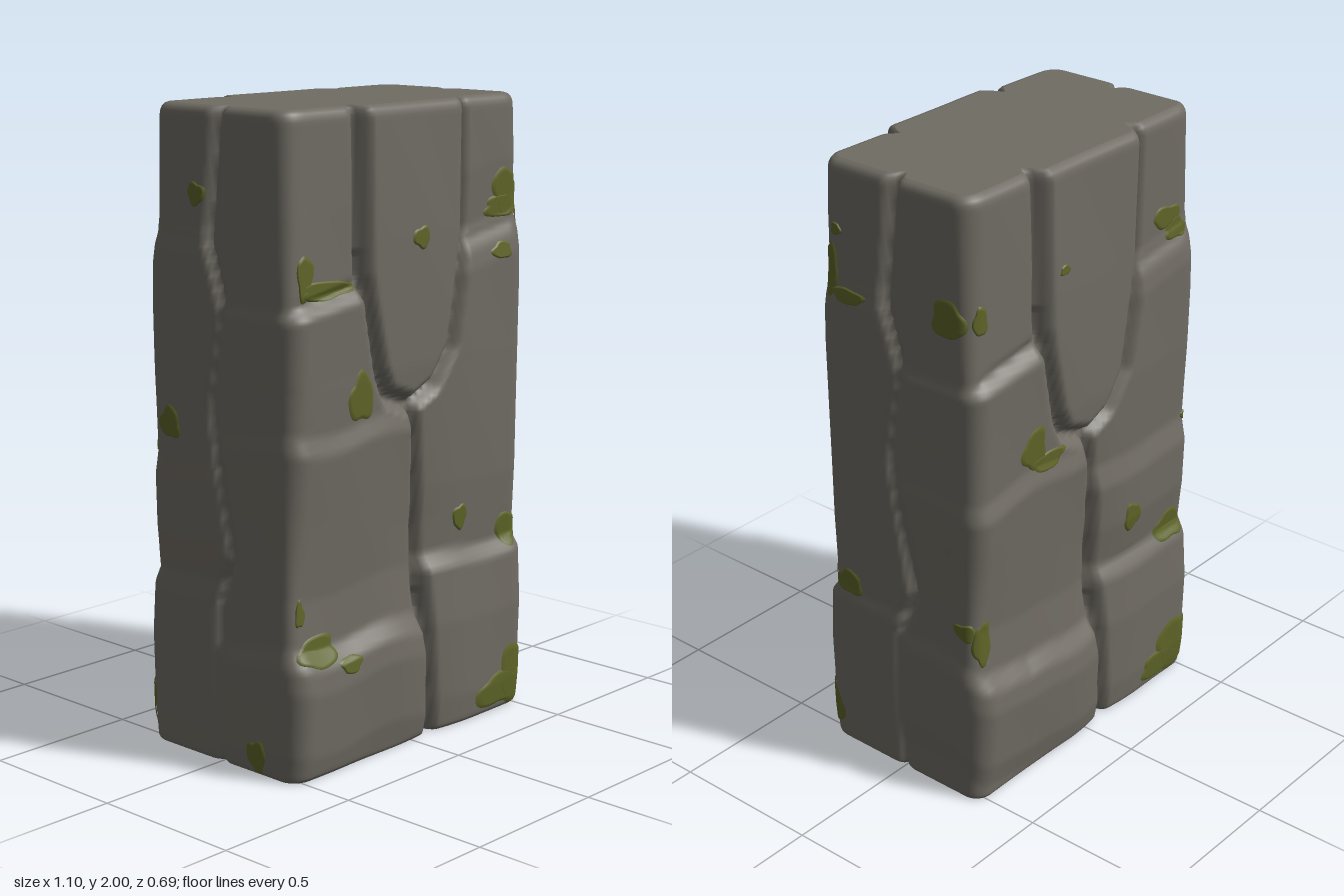
import * as THREE from 'three';

const X = 0.54, Z = 0.32, HALF = X + Z, H = 2;
const clamp = THREE.MathUtils.clamp;

// Piecewise-linear lookup through [key, value] pairs with rising keys
function lookup(points, k) {
  if (k <= points[0][0]) return points[0][1];
  for (let i = 1; i < points.length; i++) {
    const [k0, v0] = points[i - 1], [k1, v1] = points[i];
    if (k <= k1) return v0 + (v1 - v0) * (k - k0) / (k1 - k0);
  }
  return points[points.length - 1][1];
}

// Seams as [y, s]: s runs around the half perimeter, equal to x on the broad face
const plateLeft = [[1.08, 0], [1.12, -0.11], [1.2, -0.15], [1.4, -0.2], [1.5, -0.22], [1.7, -0.225], [2, -0.23]];
const plateRight = [[1.08, 0], [1.13, 0.1], [1.24, 0.175], [1.4, 0.205], [1.6, 0.235], [2, 0.24]];
const centreSeam = [[0, 0.09], [0.5, 0.05], [0.8, 0.03], [1.08, 0]];
const sideSeam = [[0, 0.86], [0.5, 0.85], [0.65, 0.91], [1.1, 0.83], [1.4, 0.88], [1.6, 0.82], [1.8, 0.84], [2, 0.86]];
const ledgeSeam = [[1.42, -0.8], [1.425, -0.54], [1.475, -0.25]];
const lowSeam = [[0.555, 0.07], [0.56, 0.54], [0.57, 0.82]];
const highSeam = [[1.56, 0.25], [1.61, 0.54], [1.6, 0.8]];
// [seam, depth, half width]
const seams = [[plateLeft, 0.06, 0.035], [plateRight, 0.05, 0.035], [centreSeam, 0.055, 0.032],
  [sideSeam, 0.05, 0.035], [ledgeSeam, 0.012, 0.025], [lowSeam, 0.004, 0.02], [highSeam, 0.006, 0.025]];

// How far each corner column of stones stands out, as [y, offset]
const leftColumn = [[0, -0.004], [0.08, 0.012], [0.28, 0.026], [0.35, 0.018], [0.41, -0.022], [0.56, -0.03],
  [0.8, -0.012], [1, 0.004], [1.06, -0.014], [1.25, -0.005], [1.41, 0.003], [1.46, -0.032], [1.7, -0.032], [2, -0.036]];
const rightColumn = [[0, -0.002], [0.1, 0.008], [0.35, 0.014], [0.53, 0.003], [0.58, -0.036], [0.8, -0.02],
  [1.2, -0.01], [1.5, -0.006], [1.55, -0.014], [1.63, -0.042], [1.8, -0.036], [2, -0.042]];
const rightColumnBack = [[0, -0.002], [0.1, 0.008], [0.35, 0.014], [0.51, 0.003], [0.57, -0.028], [0.7, -0.01],
  [0.86, -0.004], [0.94, -0.024], [1.2, -0.01], [1.5, -0.006], [1.55, -0.014], [1.63, -0.042], [2, -0.042]];

// Corner radius, softer towards the top
const cornerRadius = [[0, 0.065], [1.4, 0.07], [1.6, 0.085], [2, 0.1]];

function distance(seam, s, y) {
  let best = 9;
  for (let i = 1; i < seam.length; i++) {
    const [y0, s0] = seam[i - 1], [y1, s1] = seam[i];
    const dy = y1 - y0, ds = s1 - s0;
    const t = clamp(((y - y0) * dy + (s - s0) * ds) / (dy * dy + ds * ds), 0, 1);
    best = Math.min(best, Math.hypot(y - y0 - t * dy, s - s0 - t * ds));
  }
  return best;
}

function offset(s, y, back) {
  // A side seam wanders past the half perimeter, so wrap into the next half
  const side = lookup(sideSeam, y);
  if (s > side) { s -= 2 * HALF; back = !back; }
  if (s < side - 2 * HALF) { s += 2 * HALF; back = !back; }
  let out;
  if (y > 1.08 && s > lookup(plateLeft, y) && s < lookup(plateRight, y)) {
    out = lookup([[1.08, -0.018], [1.2, -0.01], [1.6, -0.006], [2, -0.008]], y);
  } else {
    const wobble = 0.012 * Math.sin(s * 13 + (back ? 2 : 0));
    const centre = lookup(centreSeam, y);
    if (s < centre) {
      // The back foot stone rises towards its corner
      const rise = back ? 0.3 * clamp(-s - 0.3, 0, 0.35) * clamp((0.9 - y) / 0.2, 0, 1) : 0;
      const slope = 0.12 * clamp(s + 0.4, -0.15, 0.15) * (y > 1.2 ? 1 : 0.3);
      out = lookup(leftColumn, y - slope - rise + wobble * (y < 1.2));
    } else {
      out = lookup(back ? rightColumnBack : rightColumn, y - (y > 1.2 ? 0.18 * clamp(s - 0.45, -0.2, 0.1) : 0.5 * wobble));
    }
    // Stones round off towards the centre seam
    const near = clamp(1 - Math.abs(s - centre) / 0.2, 0, 1);
    out -= 0.02 * near * near * clamp((1.1 - y) / 0.4, 0, 1);
  }
  // Gentle chipped unevenness
  out += 0.002 * Math.sin(9 * s + 5 * y + (back ? 1.5 : 0));
  // V-shaped seams
  let cut = 0;
  for (const [seam, depth, width] of seams) {
    const d = Math.min(distance(seam, s, y), distance(seam, s + 2 * HALF, y));
    if (d < width) cut = Math.max(cut, depth * Math.pow(1 - d / width, 1.3));
  }
  return out - cut;
}

// Point on the pillar wall, raised by lift
function wallPoint(s, y, back, lift = 0) {
  const r = lookup(cornerRadius, y);
  const px = clamp(s, -X, X), pz = Z - Math.max(0, Math.abs(s) - X);
  const ix = clamp(px, r - X, X - r), iz = Math.min(pz, Z - r);
  const length = Math.hypot(px - ix, pz - iz);
  const nx = (px - ix) / length, nz = (pz - iz) / length;
  const edge = Math.max(0, y - (H - 0.035)) / 0.035, foot = Math.max(0, 0.015 - y) / 0.015;
  const inset = 0.028 * (1 - Math.sqrt(Math.max(0, 1 - edge * edge))) + 0.008 * foot * foot;
  const raw = offset(s, y, back);
  // Ledges are shallower on the narrow sides, seams are not
  const shallow = raw > -0.045 ? raw * (1 - 0.7 * nx * nx) : raw + 0.0315 * nx * nx;
  const out = r + shallow - inset + lift;
  const sign = back ? -1 : 1;
  return [sign * (ix + nx * out), y, sign * (iz + nz * out)];
}

function makeGeometry(positions, index) {
  const geometry = new THREE.BufferGeometry();
  geometry.setAttribute('position', new THREE.Float32BufferAttribute(positions, 3));
  geometry.setIndex(index);
  geometry.computeVertexNormals();
  return geometry;
}

// Closed wall of stones, one ring of points per height
function wallRings(columns, heights) {
  return heights.map((y) => Array.from({ length: columns }, (_, i) => {
    const s = -HALF + (i % (columns / 2)) / (columns / 2) * 2 * HALF;
    return wallPoint(s, y, i >= columns / 2);
  }));
}

function wallGeometry(rings) {
  const n = rings[0].length, index = [];
  for (let j = 0; j < rings.length - 1; j++) {
    for (let i = 0; i < n; i++) {
      const k = (i + 1) % n, a = j * n + i, b = j * n + k;
      index.push(a, b, b + n, a, b + n, a + n);
    }
  }
  return makeGeometry(rings.flat(2), index);
}

// Flat end face closing a ring
function capGeometry(ring, up) {
  const n = ring.length, index = [];
  for (let i = 0; i < n; i++) {
    const k = (i + 1) % n;
    index.push(n, up ? i : k, up ? k : i);
  }
  return makeGeometry([...ring.flat(), 0, ring[0][1], 0], index);
}

// Thin irregular patch lying on the wall
function mossGeometry(s, y, rx, ry, back, seed) {
  const rounds = 9, spokes = 30, positions = [], index = [];
  for (let j = 0; j <= rounds; j++) {
    for (let i = 0; i < spokes; i++) {
      const a = i / spokes * Math.PI * 2;
      const r = j / rounds * (1 + 0.12 * Math.sin(3 * a + seed * 1.7) + 0.06 * Math.sin(5 * a + seed * 2.9));
      const py = clamp(y + Math.sin(a) * ry * r, 0.004, H - 0.01);
      positions.push(...wallPoint(clamp(s + Math.cos(a) * rx * r, -HALF, HALF), py, back, j === rounds ? 0.001 : 0.005));
      if (j < rounds) {
        const k = (i + 1) % spokes, p = j * spokes + i, q = j * spokes + k;
        index.push(p, p + spokes, q + spokes, p, q + spokes, q);
      }
    }
  }
  return makeGeometry(positions, index);
}

// Moss patches as [s, y, half width, half height]
const frontMoss = [[-0.465, 1.52, 0.042, 0.07], [-0.37, 1.475, 0.12, 0.028], [-0.24, 1.14, 0.055, 0.075],
  [0.02, 1.595, 0.038, 0.034], [0.465, 1.7, 0.075, 0.075], [0.46, 1.65, 0.11, 0.036], [0.41, 1.515, 0.047, 0.028],
  [0.24, 0.68, 0.032, 0.042], [0.49, 0.6, 0.075, 0.052], [-0.5, 0.52, 0.032, 0.042], [-0.43, 0.395, 0.085, 0.048],
  [-0.31, 0.335, 0.045, 0.028], [0.5, 0.11, 0.1, 0.1], [0.42, 0.07, 0.13, 0.055], [0.6, 1.66, 0.045, 0.08],
  [0.68, 1.59, 0.065, 0.024], [0.64, 1.79, 0.02, 0.02], [0.64, 0.6, 0.055, 0.042], [-0.7, 0.06, 0.04, 0.05]];
const backMoss = [[-0.65, 1.625, 0.065, 0.06], [-0.5, 1.625, 0.05, 0.045], [-0.6, 0.605, 0.045, 0.03],
  [0.4, 1.67, 0.07, 0.035], [0.45, 1.62, 0.06, 0.035], [-0.265, 1.14, 0.055, 0.07], [-0.2, 1.08, 0.08, 0.03],
  [0.225, 0.7, 0.04, 0.05], [0.44, 0.575, 0.08, 0.05], [-0.51, 0.56, 0.06, 0.075], [0.46, 0.12, 0.1, 0.1],
  [0.38, 0.07, 0.1, 0.05], [0.65, 1.035, 0.045, 0.05], [0.53, 0.95, 0.025, 0.015], [0.77, 1.74, 0.035, 0.035],
  [-0.14, 1.68, 0.022, 0.016]];

export function createModel() {
  const stone = new THREE.MeshStandardMaterial({ name: 'grey stone', color: 0x706c64 });
  const moss = new THREE.MeshStandardMaterial({ name: 'green moss', color: 0x5f6528 });
  const group = new THREE.Group();
  group.name = 'stonePillar';
  const add = (name, geometry, material) => {
    const mesh = new THREE.Mesh(geometry, material);
    mesh.name = name;
    group.add(mesh);
  };

  // Stone wall and end faces
  const heights = Array.from({ length: 141 }, (_, j) => j / 140 * (H - 0.035));
  heights.splice(1, 0, 0.007);
  for (const t of [0.35, 0.65, 0.88, 1]) heights.push(H - 0.035 + 0.035 * t);
  const rings = wallRings(264, heights);
  add('stoneWall', wallGeometry(rings), stone);
  add('topFace', capGeometry(rings[rings.length - 1], true), stone);
  add('bottomFace', capGeometry(rings[0], false), stone);

  // Moss
  frontMoss.forEach((m, i) => add('frontMoss' + (i + 1), mossGeometry(...m, false, i), moss));
  backMoss.forEach((m, i) => add('backMoss' + (i + 1), mossGeometry(...m, true, i + 5), moss));
  return group;
}
